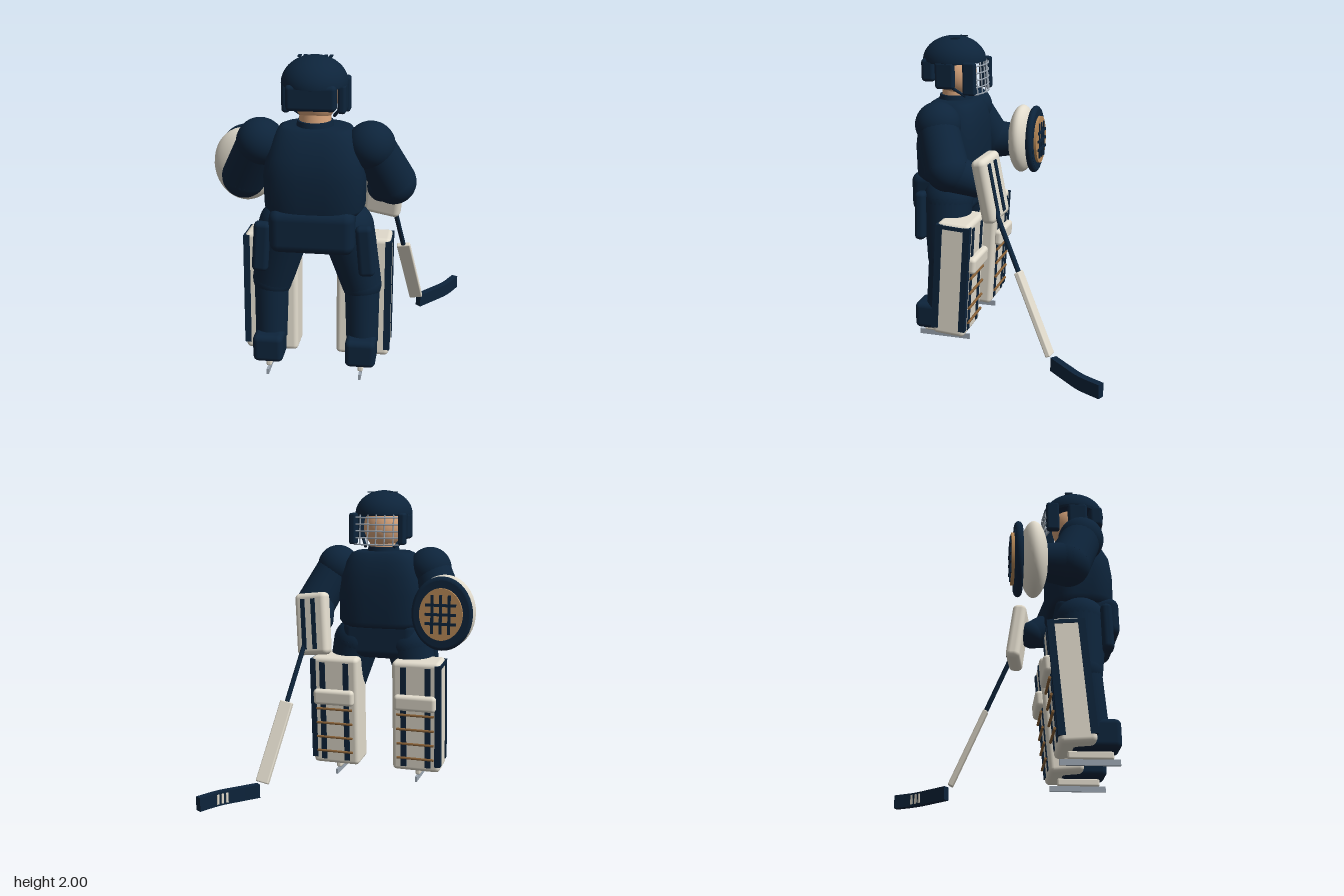
import * as THREE from 'three';
import { RoundedBoxGeometry } from 'three/addons/geometries/RoundedBoxGeometry.js';

const material = (name, color, side = THREE.FrontSide) => {
  const m = new THREE.MeshStandardMaterial({ color, side });
  m.name = name;
  return m;
};
const navy = material('navy', 0x0d243b, THREE.DoubleSide);
const cream = material('cream', 0xe2dccd);
const skin = material('skin', 0xd9a57c);
const leather = material('leather', 0xb98a58);
const lace = material('lace', 0x8a6238);
const steel = material('steel', 0x9ca7b3);

const CX = -0.095; // body centre line
const V = (x, y, z) => new THREE.Vector3(x, y, z);

function add(parent, name, geometry, mat, x = 0, y = 0, z = 0) {
  const mesh = new THREE.Mesh(geometry, mat);
  mesh.name = name;
  mesh.position.set(x, y, z);
  parent.add(mesh);
  return mesh;
}
function group(parent, name, x = 0, y = 0, z = 0) {
  const g = new THREE.Group();
  g.name = name;
  g.position.set(x, y, z);
  parent.add(g);
  return g;
}
const rbox = (w, h, d, r = 0.03) => new RoundedBoxGeometry(w, h, d, 3, r);
const ball = (r) => new THREE.SphereGeometry(r, 32, 20);

// Tapered round bar between two points
function bar(parent, name, a, b, ra, rb, mat, sides = 28) {
  const m = add(parent, name, new THREE.CylinderGeometry(rb, ra, a.distanceTo(b), sides), mat);
  m.position.copy(a).add(b).multiplyScalar(0.5);
  m.quaternion.setFromUnitVectors(V(0, 1, 0), b.clone().sub(a).normalize());
  return m;
}
function limb(parent, name, a, b, ra, rb, mat) {
  bar(parent, name, a, b, ra, rb, mat);
  add(parent, name + 'Start', ball(ra), mat, a.x, a.y, a.z);
  add(parent, name + 'End', ball(rb), mat, b.x, b.y, b.z);
}

// Loft of rounded-square rings, each [y, half width, centre z, half depth]
function loft(rings, n = 48, power = 0.65) {
  const pos = [], idx = [];
  const bend = (v) => Math.sign(v) * Math.abs(v) ** power;
  for (const [y, w, zc, d] of rings)
    for (let i = 0; i < n; i++) {
      const a = (i / n) * Math.PI * 2;
      pos.push(w * bend(Math.cos(a)), y, zc + d * bend(Math.sin(a)));
    }
  const last = rings.length - 1, bottom = rings.length * n, top = bottom + 1;
  pos.push(0, rings[0][0], rings[0][2], 0, rings[last][0], rings[last][2]);
  for (let i = 0; i < n; i++) {
    const k = (i + 1) % n;
    for (let j = 0; j < last; j++) {
      const p = j * n + i, q = j * n + k;
      idx.push(p, p + n, q, q, p + n, q + n);
    }
    idx.push(bottom, i, k, top, last * n + k, last * n + i);
  }
  const g = new THREE.BufferGeometry();
  g.setAttribute('position', new THREE.Float32BufferAttribute(pos, 3));
  g.setIndex(idx);
  g.computeVertexNormals();
  return g;
}

function buildHead(root) {
  const h = group(root, 'head', CX, 0, 0);
  add(h, 'face', ball(0.14), skin, 0, 1.755, 0.455).scale.set(0.95, 1.1, 0.9);
  add(h, 'neck', new THREE.CylinderGeometry(0.09, 0.1, 0.14, 28), skin, 0, 1.63, 0.465);
  add(h, 'collar', new THREE.CylinderGeometry(0.105, 0.115, 0.05, 32), navy, 0, 1.595, 0.47);
  const dome = new THREE.SphereGeometry(1, 40, 16, 0, Math.PI * 2, 0, Math.PI / 2);
  add(h, 'helmetDome', dome, navy, 0, 1.84, 0.475).scale.set(0.195, 0.16, 0.208);
  add(h, 'helmetBand', new THREE.CylinderGeometry(0.19, 0.185, 0.02, 40), navy, 0, 1.84, 0.475);
  add(h, 'helmetBack', rbox(0.29, 0.15, 0.09, 0.025), navy, 0, 1.785, 0.615);
  for (const s of [-1, 1]) {
    add(h, 'earGuard', rbox(0.05, 0.175, 0.13, 0.02), navy, s * 0.163, 1.76, 0.485);
    add(h, 'cheekGuard', rbox(0.045, 0.21, 0.085, 0.015), navy, s * 0.17, 1.745, 0.318);
    bar(h, 'chinStrap', V(s * 0.15, 1.69, 0.46), V(s * 0.1, 1.62, 0.37), 0.01, 0.01, navy, 8);
    for (const k of [-1, 1])
      add(h, 'helmetVent', new THREE.BoxGeometry(0.018, 0.008, 0.05), navy, s * 0.075 + k * 0.016, 1.988, 0.44);
  }
  // Wire face cage, bowed forward
  const bow = (x) => 0.262 + 1.3 * x * x;
  for (let i = 0; i < 5; i++) {
    const y = 1.64 + i * 0.045;
    const pts = [-0.16, -0.08, 0, 0.08, 0.16].map((x) => V(x, y, bow(x)));
    add(h, 'cageCrossBar', new THREE.TubeGeometry(new THREE.CatmullRomCurve3(pts), 16, 0.005, 6), steel);
  }
  for (let i = -2; i <= 2; i++) {
    const x = i * 0.058;
    bar(h, 'cageUpright', V(x, 1.635, bow(x)), V(x, 1.84, bow(x) + 0.015), 0.005, 0.005, steel, 6);
  }
}

function buildBody(root) {
  const b = group(root, 'body', CX, 0, 0);
  add(b, 'torso', loft([
    [1.07, 0.27, 0.48, 0.19], [1.11, 0.3, 0.485, 0.215], [1.3, 0.305, 0.487, 0.215], [1.42, 0.285, 0.48, 0.21],
    [1.52, 0.25, 0.468, 0.175], [1.575, 0.215, 0.465, 0.145], [1.59, 0.18, 0.465, 0.12],
  ]), navy);
  add(b, 'pelvis', rbox(0.51, 0.27, 0.4, 0.06), navy, 0, 0.985, 0.515);
  for (const s of [-1, 1]) {
    const leg = group(b, s < 0 ? 'rightLeg' : 'leftLeg');
    limb(leg, 'thigh', V(s * 0.19, 0.95, 0.47), V(s * 0.28, 0.58, 0.455), 0.165, 0.127, navy);
    bar(leg, 'shin', V(s * 0.29, 0.2, 0.5), V(s * 0.285, 0.56, 0.465), 0.1, 0.11, navy);
    const hip = add(leg, 'hipPad', rbox(0.1, 0.32, 0.07, 0.03), navy, s * 0.315, 0.86, 0.615);
    hip.rotation.z = s * 0.08;
    add(leg, 'boot', rbox(0.19, 0.18, 0.3, 0.035), navy, s * 0.29, 0.17, 0.51);
    add(leg, 'bladeHolder', rbox(0.035, 0.05, 0.27, 0.012), cream, s * 0.29, 0.06, 0.485);
    add(leg, 'skateBlade', new THREE.BoxGeometry(0.015, 0.036, 0.355), steel, s * 0.29, 0.018, 0.48);
    buildPad(leg, s);
  }
}

// Leg pad; its front faces -z
function buildPad(leg, s) {
  const p = group(leg, 'legPad', s * 0.29, 0.475, 0.372);
  p.rotation.x = -0.07;
  add(p, 'padCore', rbox(0.335, 0.78, 0.22, 0.03), cream);
  for (const z of [-0.093, 0.093])
    add(p, 'padEdge', new THREE.BoxGeometry(0.04, 0.72, 0.044), navy, s * 0.153, 0.015, z);
  add(p, 'padTopEdge', new THREE.BoxGeometry(0.01, 0.025, 0.2), navy, s * 0.168, 0.36, 0);
  for (const k of [-1, 1])
    add(p, 'padStripe', new THREE.BoxGeometry(0.04, 0.71, 0.009), navy, k * 0.085, 0, -0.111);
  add(p, 'kneeRoll', rbox(0.29, 0.11, 0.06, 0.025), cream, 0, 0.11, -0.125);
  for (let i = 0; i < 4; i++) {
    const y = -0.29 + i * 0.104;
    bar(p, 'padLace', V(-0.13, y, -0.125), V(0.13, y, -0.125), 0.009, 0.009, lace, 8);
  }
}

function buildArms(root) {
  const r = group(root, 'rightArm');
  add(r, 'shoulder', ball(0.145), navy, -0.425, 1.475, 0.475);
  limb(r, 'upperArm', V(-0.44, 1.46, 0.47), V(-0.555, 1.22, 0.37), 0.13, 0.138, navy);
  bar(r, 'forearm', V(-0.555, 1.22, 0.37), V(-0.58, 1.22, 0.18), 0.138, 0.11, navy);
  const l = group(root, 'leftArm');
  add(l, 'shoulder', ball(0.145), navy, 0.235, 1.475, 0.475);
  limb(l, 'upperArm', V(0.25, 1.46, 0.47), V(0.365, 1.22, 0.37), 0.13, 0.138, navy);
  limb(l, 'forearm', V(0.36, 1.21, 0.36), V(0.285, 1.13, 0.215), 0.13, 0.095, navy);
}

function buildCatcher(root) {
  const c = group(root, 'catchingGlove', -0.597, 1.225, 0);
  add(c, 'glovePadding', ball(1), cream, 0, 0, 0.155).scale.set(0.203, 0.242, 0.09);
  const disc = (name, radius, depth, mat, z) => {
    const m = add(c, name, new THREE.CylinderGeometry(radius, radius, depth, 40), mat, 0, 0, z);
    m.rotation.x = Math.PI / 2;
    m.scale.set(1, 1, 1.2); // taller than wide
  };
  disc('gloveRim', 0.18, 0.05, navy, 0.06);
  const rim = add(c, 'gloveRimEdge', new THREE.TorusGeometry(0.175, 0.025, 12, 40), navy, 0, 0, 0.06);
  rim.scale.set(1, 1.2, 1);
  disc('glovePocket', 0.14, 0.02, leather, 0.027);
  for (let i = -1; i <= 1; i++) {
    add(c, 'webUpright', new THREE.BoxGeometry(0.018, 0.25, 0.009), navy, i * 0.055, 0, 0.013);
    add(c, 'webCrossBar', new THREE.BoxGeometry(0.2, 0.018, 0.009), navy, 0, i * 0.06, 0.011);
  }
}

function buildBlocker(root) {
  const b = group(root, 'blocker', 0.295, 1.11, 0.113);
  b.rotation.set(0.13, -0.19, -0.1);
  add(b, 'blockerBoard', rbox(0.24, 0.42, 0.095, 0.035), cream);
  for (const x of [-0.03, 0.05])
    add(b, 'blockerStripe', new THREE.BoxGeometry(0.032, 0.34, 0.009), navy, x, 0, -0.049);
}

function buildStick(root) {
  const s = group(root, 'stick');
  const top = V(0.41, 0.61, -0.1), heel = V(0.5, 0.11, -0.33);
  const axis = top.clone().sub(heel).normalize();
  bar(s, 'shaft', top, top.clone().addScaledVector(axis, 0.56), 0.016, 0.016, navy, 12);
  // Paddle: its broad side stays square to the shaft
  const across = V(1, 0, 0).addScaledVector(axis, -axis.x).normalize();
  const p = add(s, 'paddle', rbox(0.09, top.distanceTo(heel), 0.034, 0.008), cream);
  p.position.copy(top).add(heel).multiplyScalar(0.5);
  p.quaternion.setFromRotationMatrix(new THREE.Matrix4().makeBasis(across, axis, across.clone().cross(axis)));
  // Curved blade: outline drawn in x and -z, raised along y
  const path = new THREE.CatmullRomCurve3([V(0.515, 0, -0.355), V(0.61, 0, -0.46), V(0.7, 0, -0.565), V(0.775, 0, -0.705)]);
  const edge = (side) => Array.from({ length: 13 }, (_, i) => {
    const q = path.getPoint(i / 12), t = path.getTangent(i / 12);
    return new THREE.Vector2(q.x - side * t.z * 0.022, -(q.z + side * t.x * 0.022));
  });
  const outline = new THREE.Shape([...edge(1), ...edge(-1).reverse()]);
  const blade = add(s, 'blade', new THREE.ExtrudeGeometry(outline, { depth: 0.09, bevelEnabled: false }), navy, 0, 0.02, 0);
  blade.rotation.x = -Math.PI / 2;
  for (const u of [0.55, 0.63, 0.71]) {
    const q = path.getPoint(u), t = path.getTangent(u);
    const m = add(s, 'bladeMark', new THREE.BoxGeometry(0.016, 0.065, 0.006), cream, q.x + t.z * 0.023, 0.065, q.z - t.x * 0.023);
    m.rotation.y = Math.atan2(-t.z, t.x);
  }
}

export function createModel() {
  const root = new THREE.Group();
  root.name = 'iceHockeyGoalkeeper';
  buildHead(root);
  buildBody(root);
  buildArms(root);
  buildCatcher(root);
  buildBlocker(root);
  buildStick(root);
  return root;
}
